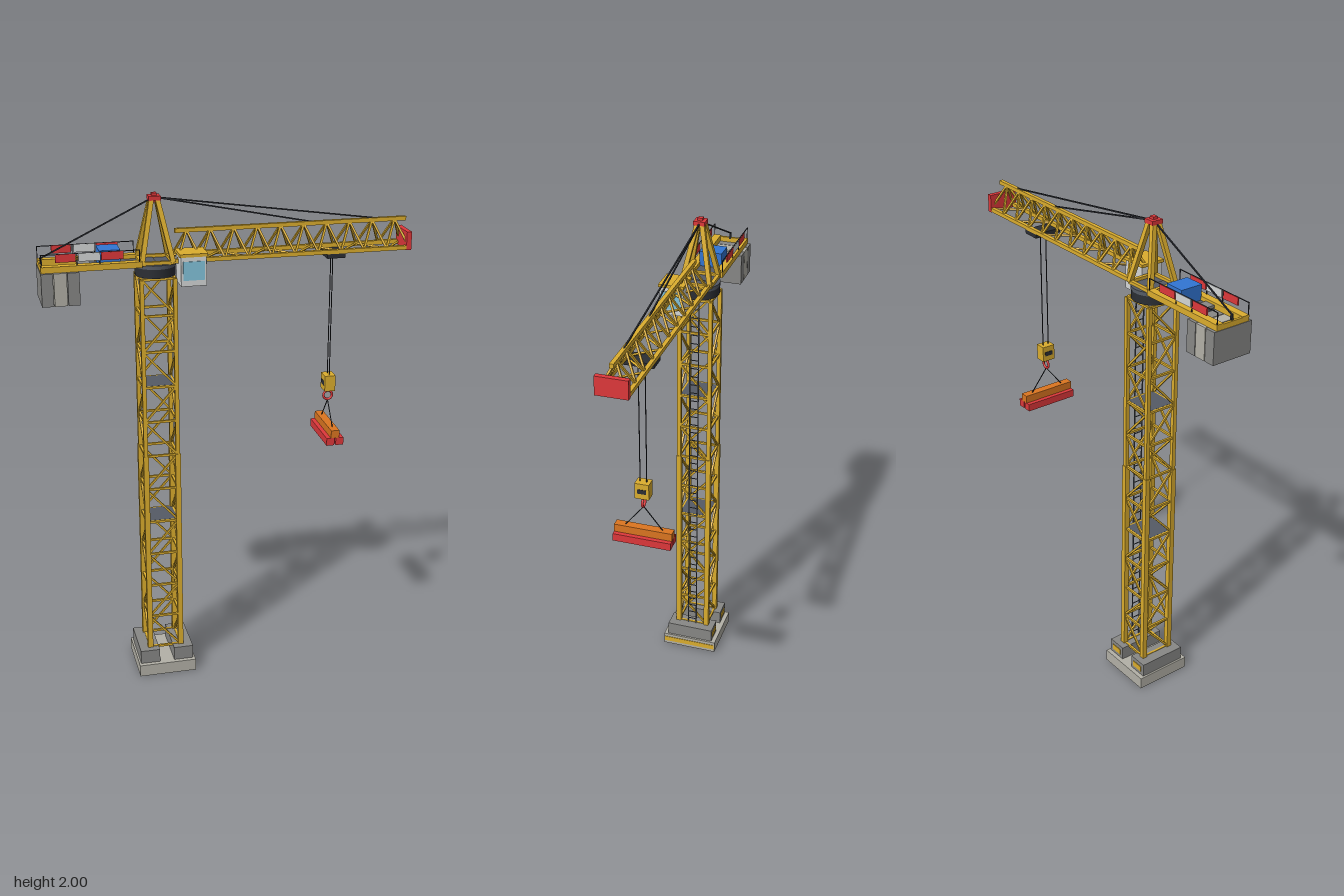
import * as THREE from 'three';
import { mergeGeometries } from 'three/addons/utils/BufferGeometryUtils.js';

const UP = new THREE.Vector3(0, 1, 0);
const MX = -0.282; // mast axis

// box from its extents
function box(x0, x1, y0, y1, z0, z1) {
  return new THREE.BoxGeometry(x1 - x0, y1 - y0, z1 - z0)
    .translate((x0 + x1) / 2, (y0 + y1) / 2, (z0 + z1) / 2);
}

// square bar between two points
function bar(a, b, t) {
  const p = new THREE.Vector3(...a), q = new THREE.Vector3(...b);
  const d = q.clone().sub(p), len = d.length();
  const g = new THREE.BoxGeometry(t, len, t);
  g.applyQuaternion(new THREE.Quaternion().setFromUnitVectors(UP, d.normalize()));
  const m = p.add(q).multiplyScalar(0.5);
  return g.translate(m.x, m.y, m.z);
}

export function createModel() {
  const crane = new THREE.Group();
  crane.name = 'towerCrane';
  const colours = {
    yellow: 0xdcae2e, darkSteel: 0x2b2e34, slate: 0x555b65, paleConcrete: 0xb3b1a7,
    concrete: 0x888886, red: 0xdf383b, blue: 0x3276d4, paleGrey: 0xd6d9d9,
    glass: 0x84c4dc, orange: 0xdc7620,
  };
  const mat = {};
  for (const k in colours) {
    mat[k] = new THREE.MeshStandardMaterial({ color: colours[k] });
    mat[k].name = k;
  }
  const add = (name, colour, geos) => {
    const m = new THREE.Mesh(mergeGeometries([geos].flat(2)), mat[colour]);
    m.name = name;
    crane.add(m);
  };
  const sides = [-1, 1];

  // foundation
  add('baseSlab', 'paleConcrete', box(MX - 0.118, MX + 0.118, 0, 0.05, -0.118, 0.118));
  add('baseStripe', 'yellow', box(MX + 0.118, MX + 0.12, 0.014, 0.036, -0.114, 0.114));
  add('footBlocks', 'concrete', sides.map(s =>
    box(MX + s * 0.07 - 0.04, MX + s * 0.07 + 0.04, 0.05, 0.107, -0.1, 0.1)));
  add('footMarks', 'yellow', sides.map(s =>
    box(MX + s * 0.07 - 0.025, MX + s * 0.07 + 0.025, 0.066, 0.09, -0.103, -0.1)));

  // mast: four legs, rings and a zigzag of diagonals on each face
  const r = 0.064, y0 = 0.105, y1 = 1.685, n = 11, step = (y1 - y0) / n;
  const legs = [], braces = [];
  const corners = [[-r, -r], [r, -r], [r, r], [-r, r]];
  corners.forEach(([x, z], i) => {
    const [u, w] = corners[(i + 1) % 4];
    legs.push(bar([MX + x, y0, z], [MX + x, 0.97, z], 0.021));
    legs.push(bar([MX + x, 0.97, z], [MX + x, y1, z], 0.016));
    for (let k = 0; k <= n; k++) {
      const a = y0 + k * step, b = a + step, up = k % 2 === 0;
      braces.push(bar([MX + x, a, z], [MX + u, a, w], 0.009));
      if (k < n) braces.push(bar([MX + x, up ? a : b, z], [MX + u, up ? b : a, w], 0.008));
    }
  });
  add('mastLegs', 'yellow', legs);
  add('mastBraces', 'yellow', braces);
  add('mastPlatforms', 'slate', [4, 8].map(k => {
    const y = y0 + k * step;
    return box(MX - 0.06, MX + 0.06, y - 0.005, y + 0.005, -0.06, 0.06);
  }));

  // ladder
  const lx = MX + 0.072;
  const ladder = sides.map(s => bar([lx, y0, s * 0.018], [lx, y1, s * 0.018], 0.004));
  for (let y = 0.13; y < 1.68; y += 0.037) ladder.push(bar([lx, y, -0.018], [lx, y, 0.018], 0.003));
  add('ladder', 'slate', ladder);

  // slewing ring
  add('slewRing', 'darkSteel', new THREE.CylinderGeometry(0.078, 0.078, 0.035, 24).translate(MX, 1.7075, 0));
  add('turntable', 'slate', new THREE.CylinderGeometry(0.08, 0.08, 0.015, 24).translate(MX, 1.7325, 0));

  // counter jib
  add('counterJibBeams', 'yellow', [
    ...sides.map(s => box(-0.72, MX - 0.06, 1.735, 1.758, s * 0.058 - 0.015, s * 0.058 + 0.015)),
    box(-0.72, -0.71, 1.735, 1.755, -0.045, 0.045),
  ]);
  add('counterJibDeck', 'slate', box(-0.57, MX, 1.73, 1.742, -0.05, 0.05));
  add('outerWeights', 'concrete', [-0.7, -0.602].map(x =>
    box(x - 0.022, x + 0.022, 1.61, 1.735, -0.085, 0.085)));
  add('middleWeight', 'paleConcrete', box(-0.675, -0.627, 1.61, 1.735, -0.085, 0.085));
  add('winchBase', 'concrete', box(-0.575, -0.53, 1.74, 1.75, -0.042, 0.042));
  add('winch', 'blue', box(-0.5, -0.42, 1.742, 1.802, -0.046, 0.046));
  const rails = [], redPanels = [], palePanels = [];
  for (const s of sides) {
    const z = s * 0.07;
    rails.push(bar([-0.72, 1.803, z], [-0.35, 1.803, z], 0.003));
    for (const x of [-0.718, -0.585, -0.5, -0.352]) rails.push(bar([x, 1.755, z], [x, 1.803, z], 0.003));
    const panel = (a, b) => box(a, b, 1.773, 1.803, z - 0.003, z + 0.003);
    redPanels.push(panel(-0.665, -0.59), panel(-0.495, -0.412));
    palePanels.push(panel(-0.58, -0.5));
  }
  add('handrails', 'darkSteel', rails);
  add('redRailPanels', 'red', redPanels);
  add('paleRailPanels', 'paleGrey', palePanels);

  // tower head on a square foot frame
  add('headFrame', 'yellow', corners.map(([x, z], i) => {
    const [u, w] = corners[(i + 1) % 4];
    return [
      bar([MX + x * 0.93, 1.745, z * 0.9], [MX + x * 0.17, 1.98, z * 0.15], 0.018),
      bar([MX + x * 0.93, 1.745, z * 0.9], [MX + u * 0.93, 1.745, w * 0.9], 0.014),
    ];
  }));
  add('headCap', 'red', [
    box(MX - 0.023, MX + 0.023, 1.974, 1.99, -0.023, 0.023),
    box(MX - 0.01, MX + 0.01, 1.965, 2, -0.01, 0.01),
  ]);
  add('stayCables', 'darkSteel', [[-0.712, 1.775], [0.335, 1.857], [0.6, 1.857]].map(([x, y]) =>
    bar([MX, 1.983, 0], [x, y, 0], 0.005)));
  add('stayAnchor', 'darkSteel', box(-0.716, -0.708, 1.75, 1.778, -0.004, 0.004));

  // operator cab
  add('cabBody', 'paleGrey', box(-0.203, -0.105, 1.662, 1.774, 0.014, 0.108));
  add('cabRoof', 'yellow', box(-0.208, -0.1, 1.774, 1.786, 0.01, 0.112));
  add('cabWindows', 'glass', [
    box(-0.195, -0.113, 1.685, 1.757, 0.108, 0.111),
    box(-0.105, -0.102, 1.685, 1.757, 0.021, 0.101),
  ]);

  // main jib: triangular truss with the single chord on top
  const j0 = -0.205, j1 = 0.715, bays = 10, bay = (j1 - j0) / bays, jb = 1.748, jt = 1.852, jz = 0.052;
  const chords = [bar([j0, jt, 0], [j1, jt, 0], 0.016)], lacing = [];
  for (const s of sides) chords.push(bar([MX + 0.06, jb, s * jz], [j1, jb, s * jz], 0.016));
  for (let k = 0; k < bays; k++) {
    const a = j0 + k * bay, m = a + bay / 2, b = a + bay, t = k % 2 ? jz : -jz;
    for (const s of sides) {
      lacing.push(bar([a, jb, s * jz], [m, jt, 0], 0.008));
      lacing.push(bar([m, jt, 0], [b, jb, s * jz], 0.008));
    }
    lacing.push(bar([a, jb, t], [b, jb, -t], 0.007));
  }
  add('jibChords', 'yellow', chords);
  add('jibLacing', 'yellow', lacing);
  add('jibEndPlate', 'red', box(0.702, 0.722, 1.738, 1.81, -0.061, 0.061));

  // trolley, hoist ropes and hook
  const hx = 0.418;
  add('trolley', 'darkSteel', box(hx - 0.036, hx + 0.036, 1.722, 1.74, -0.058, 0.058));
  add('hoistRopes', 'darkSteel', sides.map(s => bar([hx, 1.225, s * 0.013], [hx, 1.725, s * 0.013], 0.003)));
  add('hookBlock', 'yellow', box(hx - 0.022, hx + 0.022, 1.165, 1.23, -0.028, 0.028));
  add('hookBlockMarks', 'darkSteel', sides.map(s =>
    box(hx + s * 0.0225 - 0.001, hx + s * 0.0225 + 0.001, 1.188, 1.206, -0.018, 0.018)));
  add('hookRing', 'red', new THREE.TorusGeometry(0.018, 0.005, 8, 20).translate(hx, 1.14, 0));
  add('slings', 'darkSteel', sides.map(s => bar([hx, 1.12, 0], [hx, 1.025, s * 0.075], 0.003)));

  // load of stacked beams
  add('upperBeam', 'orange', box(hx - 0.017, hx + 0.017, 0.996, 1.028, -0.115, 0.115));
  add('lowerBeams', 'red', sides.map(s =>
    box(hx + s * 0.019 - 0.016, hx + s * 0.019 + 0.016, 0.965, 0.996, -0.115, 0.115)));

  return crane;
}
